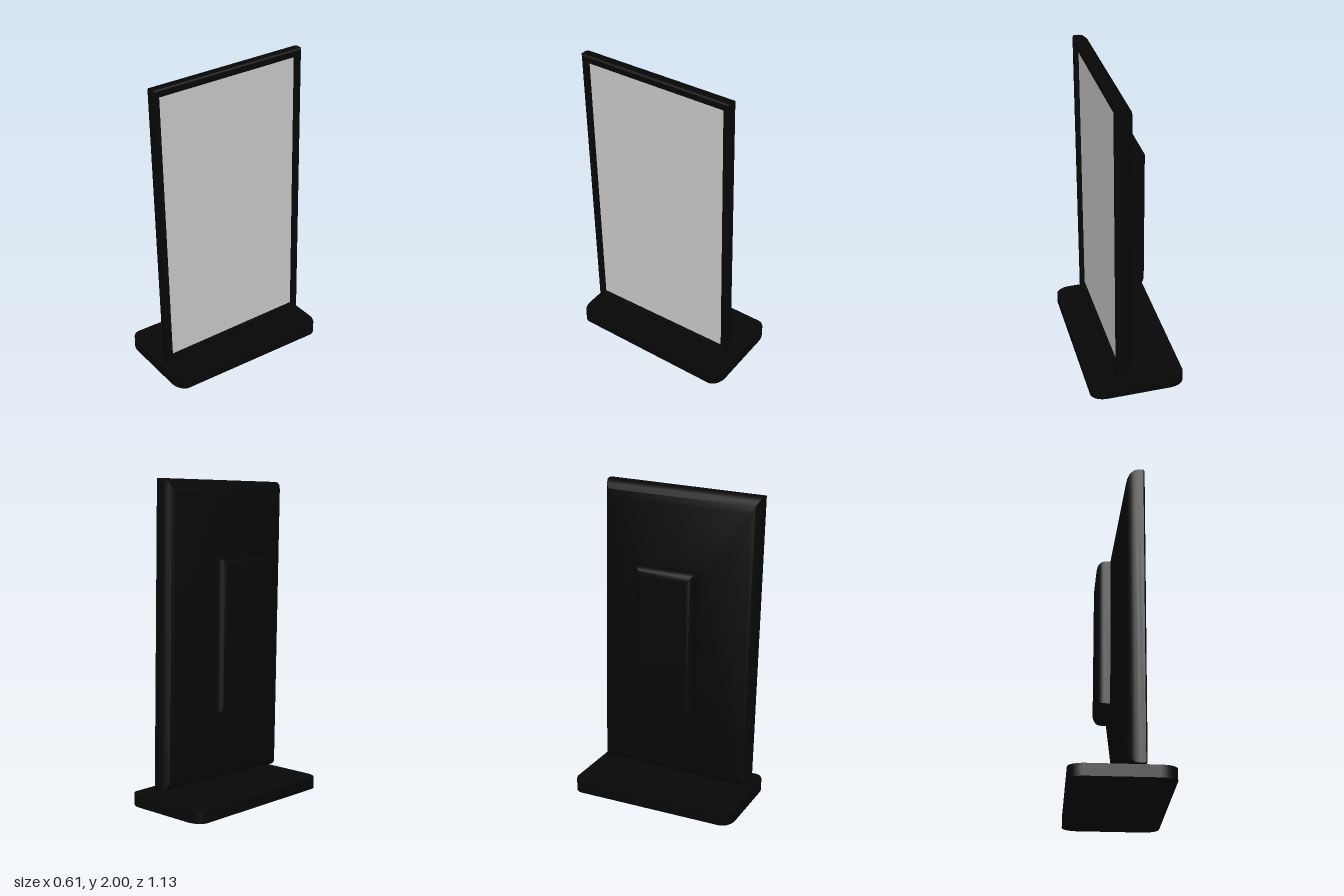
import * as THREE from 'three';
import { toCreasedNormals } from 'three/addons/utils/BufferGeometryUtils.js';

const black = new THREE.MeshStandardMaterial({ color: 0x070707 });
const grey = new THREE.MeshStandardMaterial({ color: 0xcccccc });

// Skin rectangular sections [x, halfHeight, halfWidth], front to back, and close the back
function loftRects(sections) {
  const pos = [];
  const idx = [];
  for (const [x, h, w] of sections) {
    pos.push(x, h, w, x, h, -w, x, -h, -w, x, -h, w);
  }
  for (let k = 0; k < sections.length - 1; k++) {
    for (let i = 0; i < 4; i++) {
      const j = (i + 1) % 4;
      const a = k * 4 + i, b = k * 4 + j;
      idx.push(a, b, b + 4, a, b + 4, a + 4);
    }
  }
  const e = (sections.length - 1) * 4;
  idx.push(e, e + 1, e + 2, e, e + 2, e + 3);
  const g = new THREE.BufferGeometry();
  g.setAttribute('position', new THREE.Float32BufferAttribute(pos, 3));
  g.setIndex(idx);
  return toCreasedNormals(g, 0.6);
}

function addPart(parent, name, geometry, material) {
  const mesh = new THREE.Mesh(geometry, material);
  mesh.name = name;
  parent.add(mesh);
  return mesh;
}

// Slab outline with elliptical corners, lying flat on the ground
function baseGeometry(w, d, rx, rz, height) {
  const s = new THREE.Shape();
  s.absellipse(w - rx, d - rz, rx, rz, 0, Math.PI / 2);
  s.absellipse(-w + rx, d - rz, rx, rz, Math.PI / 2, Math.PI);
  s.absellipse(-w + rx, -d + rz, rx, rz, Math.PI, Math.PI * 1.5);
  s.absellipse(w - rx, -d + rz, rx, rz, Math.PI * 1.5, Math.PI * 2);
  const g = new THREE.ExtrudeGeometry(s, { depth: height, bevelEnabled: false, curveSegments: 10 });
  g.rotateX(-Math.PI / 2);
  return toCreasedNormals(g, 0.6);
}

export function createModel() {
  const model = new THREE.Group();
  model.name = 'portraitMonitor';

  // Foot
  const base = addPart(model, 'base', baseGeometry(0.305, 0.555, 0.1, 0.07, 0.073), black);
  base.position.z = -0.008;

  // Upright display, slightly rolled, facing +x
  const display = new THREE.Group();
  display.name = 'display';
  display.position.set(0, 1.045, 0.026);
  display.rotation.x = 0.0225;
  model.add(display);

  // Casing: recessed bezel, rounded rim, back tapering to the housing
  addPart(display, 'casing', loftRects([
    [0.105, 0.895, 0.478],
    [0.133, 0.897, 0.48],
    [0.135, 0.935, 0.508],
    [0.127, 0.943, 0.515],
    [0.095, 0.943, 0.515],
    [0.07, 0.938, 0.511],
    [0.045, 0.918, 0.5],
    [0.03, 0.89, 0.485],
    [0.02, 0.85, 0.46],
    [-0.05, 0.48, 0.21],
  ]), black);

  // Screen
  const screen = addPart(display, 'screen', new THREE.PlaneGeometry(0.96, 1.795), grey);
  screen.rotation.y = Math.PI / 2;
  screen.position.x = 0.106;

  // Rear housing with a rounded back edge
  const profile = [[-0.03, 0.474, 0.197]];
  const r = 0.05;
  for (let i = 0; i <= 6; i++) {
    const a = (i / 6) * Math.PI / 2;
    const inset = r * (1 - Math.cos(a));
    profile.push([-0.086 - r * Math.sin(a), 0.474 - inset, 0.197 - inset]);
  }
  const housing = addPart(display, 'rearHousing', loftRects(profile), black);
  housing.position.z = -0.018;

  return model;
}
